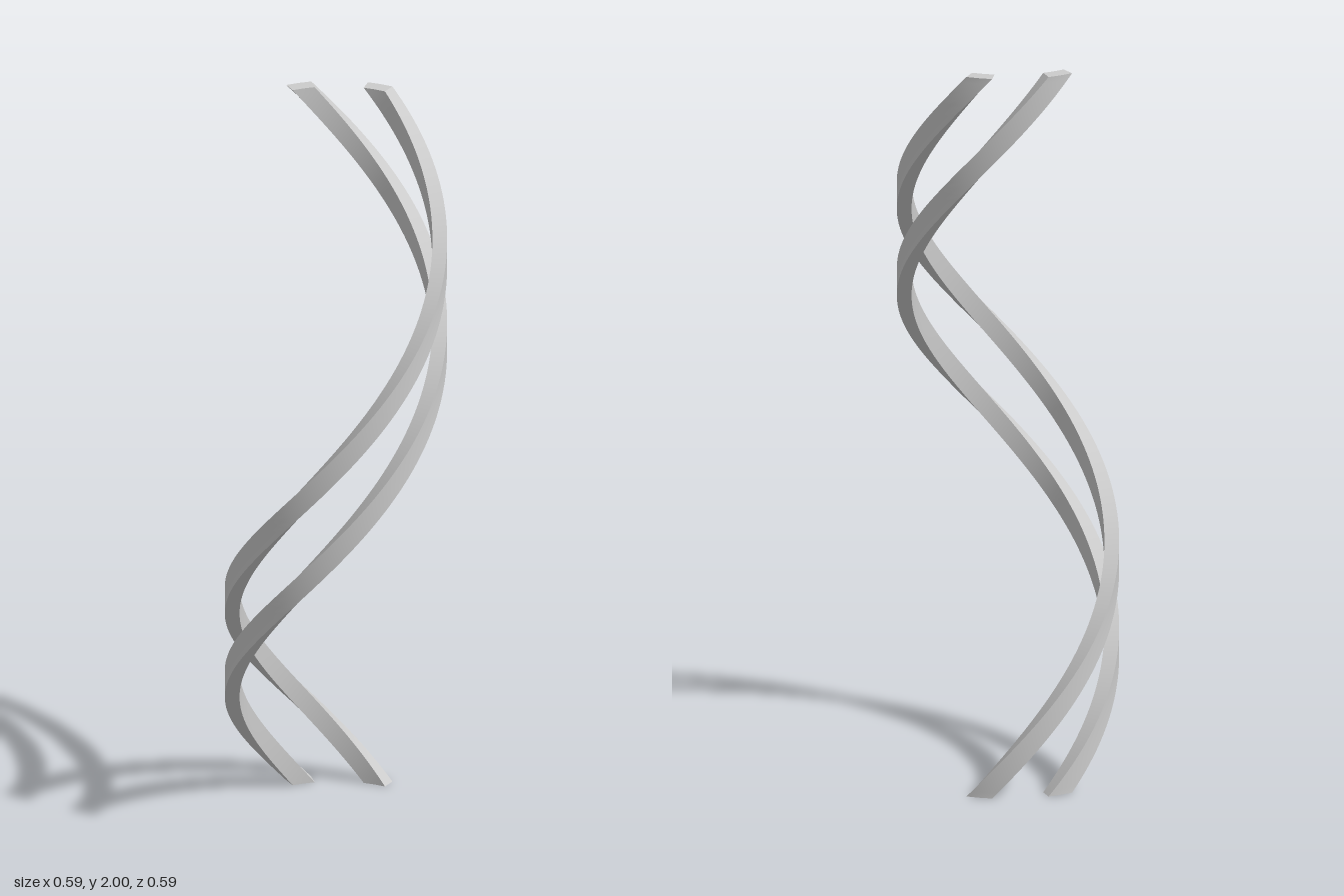
import * as THREE from 'three';

const HEIGHT = 2;
const INNER = 0.255;
const OUTER = 0.294;
const WIDTH = THREE.MathUtils.degToRad(13.8); // angular width of a strand

// Bar wrapped one full turn around the y axis, with flat horizontal ends.
// Box axes become: x = radius, y = height, z = angle from the back (-z).
function helixBar(startAngle) {
  const geometry = new THREE.BoxGeometry(OUTER - INNER, HEIGHT, WIDTH, 1, 120, 2);
  const p = geometry.attributes.position;
  for (let i = 0; i < p.count; i++) {
    const r = (INNER + OUTER) / 2 + p.getX(i);
    const y = p.getY(i) + HEIGHT / 2;
    const a = startAngle + p.getZ(i) - (2 * Math.PI * y) / HEIGHT;
    p.setXYZ(i, r * Math.sin(a), y, -r * Math.cos(a));
  }
  geometry.computeVertexNormals();
  return geometry;
}

export function createModel() {
  const group = new THREE.Group();
  group.name = 'doubleHelix';
  const material = new THREE.MeshStandardMaterial({ color: 0xcccccc });

  // Two strands, offset around the axis
  [['firstStrand', 3.6], ['secondStrand', 46.9]].forEach(([name, degrees]) => {
    const strand = new THREE.Mesh(helixBar(THREE.MathUtils.degToRad(degrees)), material);
    strand.name = name;
    group.add(strand);
  });
  return group;
}
